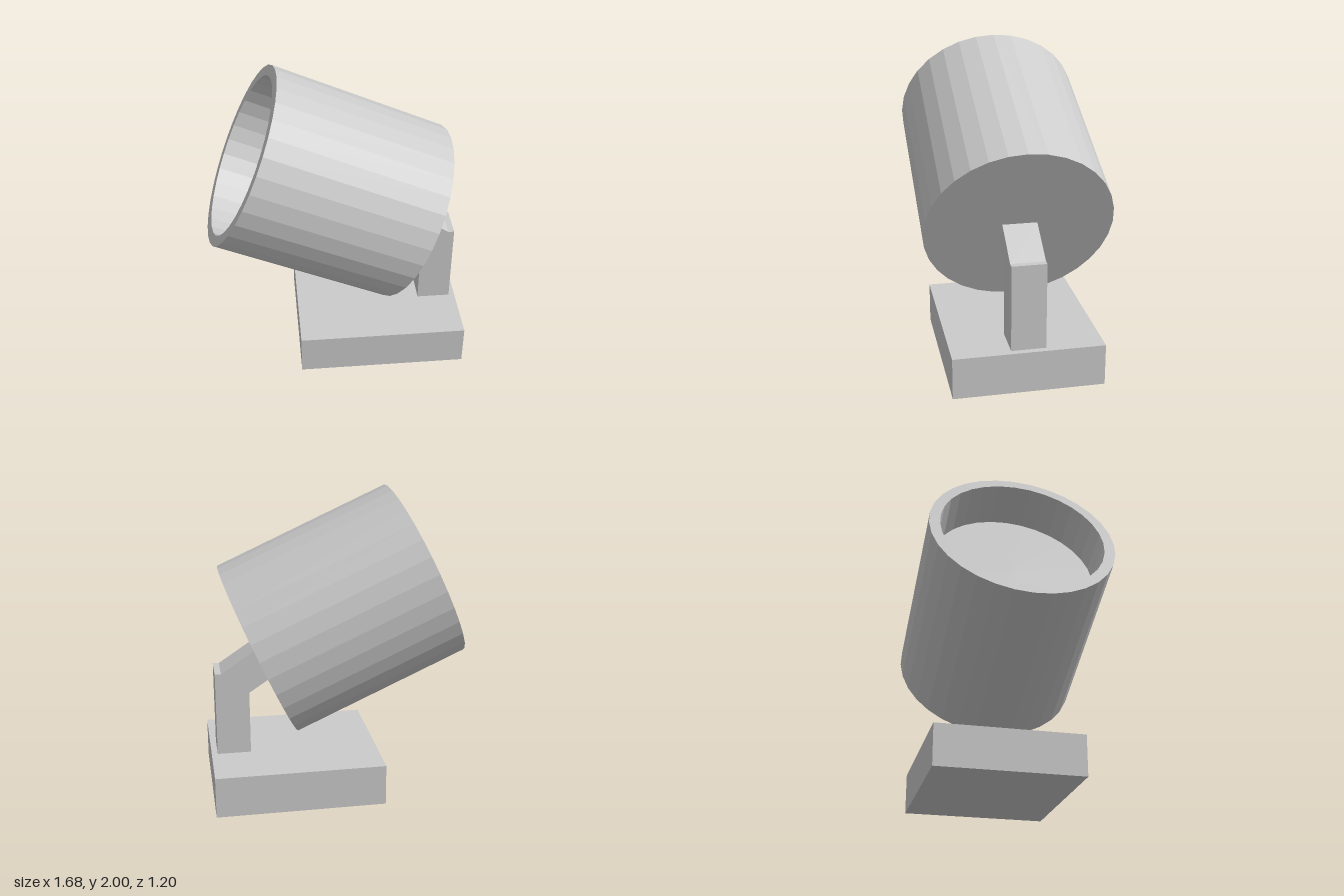
import * as THREE from 'three';

const material = new THREE.MeshStandardMaterial({ color: 0xcccccc, flatShading: true });

function addPart(group, name, geometry) {
  const flat = geometry.index ? geometry.toNonIndexed() : geometry;
  flat.computeVertexNormals();
  const mesh = new THREE.Mesh(flat, material);
  mesh.name = name;
  group.add(mesh);
  return mesh;
}

export function createModel() {
  const group = new THREE.Group();
  group.name = 'spotlight';

  // Square base slab
  const base = addPart(group, 'base', new THREE.BoxGeometry(1.1, 0.27, 0.96));
  base.position.set(0.29, 0.135, 0);

  // Bent arm: upright post with an angled neck that meets the back of the lamp
  const outline = [
    [0.58, 0.27], [0.8, 0.27], [0.8, 0.83], [0.76, 0.83],
    [0.52, 0.99], [0.43, 0.79], [0.58, 0.69],
  ].map(([x, y]) => new THREE.Vector2(x, y));
  const armWidth = 0.22;
  const arm = addPart(group, 'arm', new THREE.ExtrudeGeometry(
    new THREE.Shape(outline), { depth: armWidth, bevelEnabled: false }));
  arm.position.z = -armWidth / 2;

  // Lamp housing: closed back, thick rim and recessed lens, tilted upward
  const length = 1.204, radius = 0.6, innerRadius = 0.53, recess = 0.288;
  const profile = [
    [0, 0], [radius, 0], [radius, length], [innerRadius, length],
    [innerRadius, length - recess], [0, length - recess],
  ].map(([x, y]) => new THREE.Vector2(x, y));
  const housing = addPart(group, 'lampHousing', new THREE.LatheGeometry(profile, 32));
  housing.position.set(0.505, 0.958, 0);
  housing.rotation.z = THREE.MathUtils.degToRad(65.7);

  return group;
}
